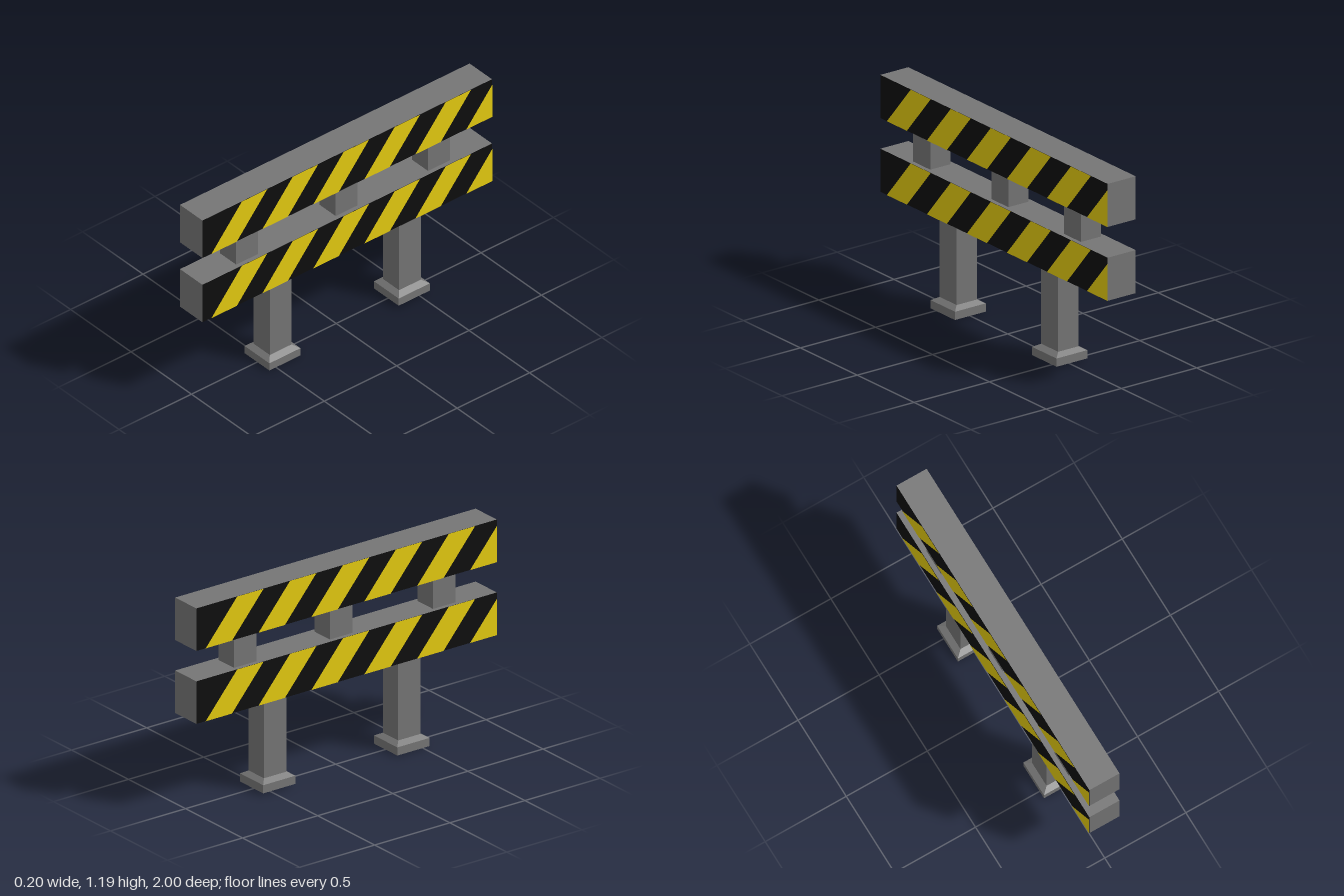
import * as THREE from 'three';

const grey = new THREE.MeshStandardMaterial({ name: 'grey metal', color: 0x757575 });
const black = new THREE.MeshStandardMaterial({ name: 'stripe black', color: 0x0e0e0e });
const yellow = new THREE.MeshStandardMaterial({ name: 'stripe yellow', color: 0xe4cb10 });

const CX = -0.002;
const POST_X = 0.134, POST_Z = 0.15;
const BOARD_X = 0.186, BOARD_H = 0.245;

function box(name, w, h, d, x, y0, z, material = grey) {
  const mesh = new THREE.Mesh(new THREE.BoxGeometry(w, h, d), material);
  mesh.name = name;
  mesh.position.set(x, y0 + h / 2, z);
  return mesh;
}

// Slanted yellow stripes across one long board face, clipped at its end
function stripeGeometry() {
  const shapes = [];
  const start = 0.06, period = 0.352, width = 0.176, slant = 0.21;
  for (let i = 0; i < 6; i++) {
    const u = start + i * period;
    const points = u + width + slant <= 2
      ? [[u, 0], [u + width, 0], [u + width + slant, BOARD_H], [u + slant, BOARD_H]]
      : [[u, 0], [2, 0], [2, BOARD_H * (2 - u) / slant]];
    shapes.push(new THREE.Shape(points.map(([a, b]) => new THREE.Vector2(a - 1, b))));
  }
  return new THREE.ShapeGeometry(shapes);
}

// Crossbar: grey bar with striped long faces
function board(name, y0, stripes) {
  const group = new THREE.Group();
  group.name = name;
  group.add(box('bar', BOARD_X, BOARD_H, 2, CX, y0, 0, [black, black, grey, grey, grey, grey]));
  for (const side of [1, -1]) {
    const mesh = new THREE.Mesh(stripes, yellow);
    mesh.name = side > 0 ? 'leftStripes' : 'rightStripes';
    mesh.rotation.y = side * Math.PI / 2;
    mesh.position.set(CX + side * (BOARD_X / 2 + 0.002), y0, 0);
    group.add(mesh);
  }
  return group;
}

// Leg: post on a square foot with a bevelled top
function leg(name, y0, z) {
  const group = new THREE.Group();
  group.name = name;
  const footX = 0.205, footZ = 0.215, footH = 0.047, bevelH = 0.02;
  group.add(box('foot', footX, footH, footZ, CX, y0, z));
  const bevel = box('footBevel', footX, bevelH, footZ, CX, y0 + footH, z);
  const p = bevel.geometry.attributes.position;
  for (let i = 0; i < p.count; i++) {
    if (p.getY(i) > 0) {
      p.setX(i, Math.sign(p.getX(i)) * POST_X / 2);
      p.setZ(i, Math.sign(p.getZ(i)) * POST_Z / 2);
    }
  }
  bevel.geometry.computeVertexNormals();
  const bottom = y0 + footH + bevelH;
  group.add(bevel, box('post', POST_X, 0.53 - bottom, POST_Z, CX, bottom, z));
  return group;
}

export function createModel() {
  const model = new THREE.Group();
  model.name = 'roadBarrier';
  const stripes = stripeGeometry();
  model.add(board('lowerBoard', 0.52, stripes), board('upperBoard', 0.94, stripes));
  // Short spacers between the boards
  for (const z of [0.67, -0.017, -0.655]) {
    model.add(box('spacer', POST_X, 0.195, POST_Z, CX, 0.755, z));
  }
  model.add(leg('frontLeg', 0, 0.438), leg('backLeg', 0.011, -0.455));
  return model;
}
